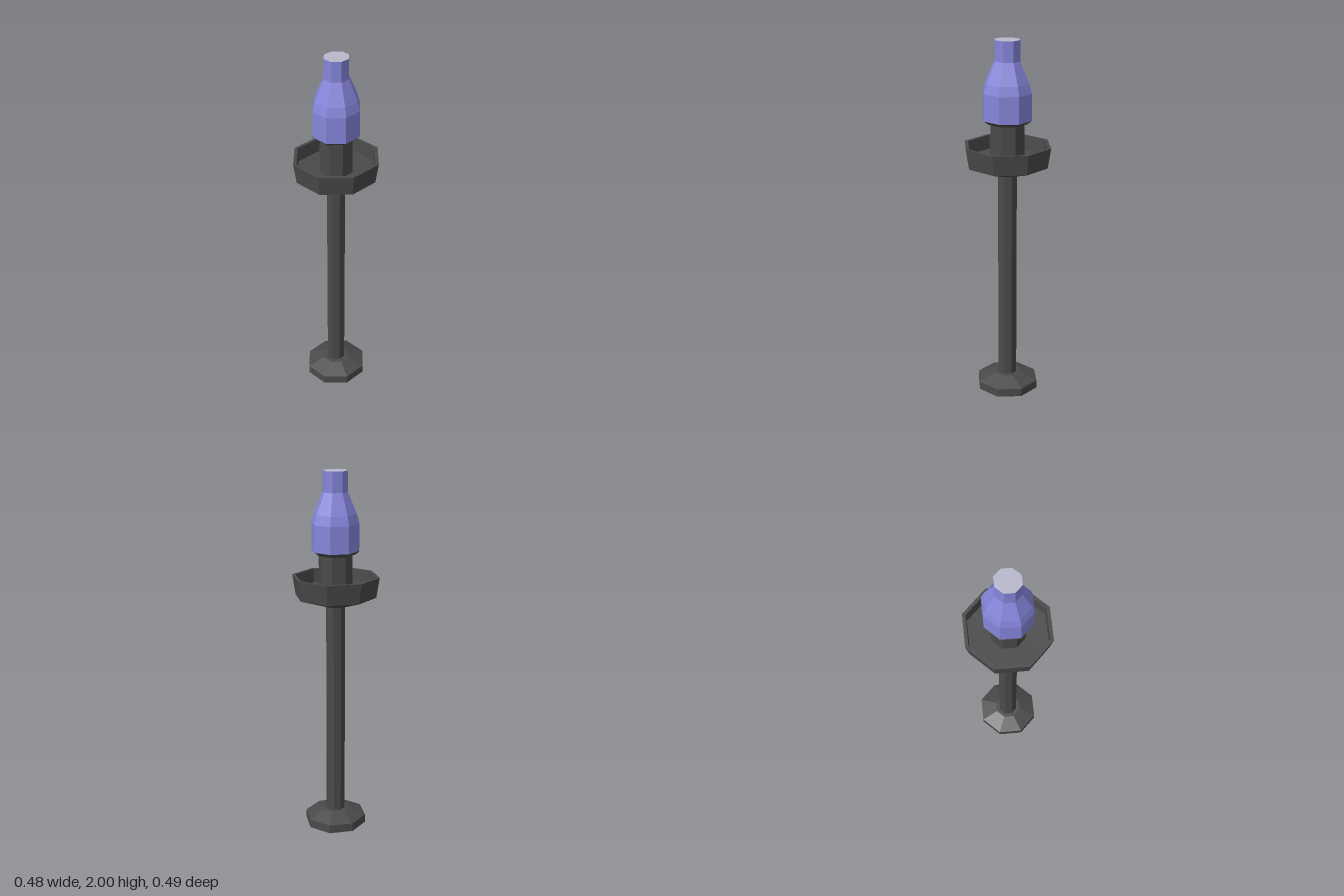
import * as THREE from 'three';

const SIDES = 8;

function material(name, color) {
  const m = new THREE.MeshStandardMaterial({ color, flatShading: true });
  m.name = name;
  return m;
}

// Octagonal turned part; profile is [radius, y] from bottom to top, slightly narrower in x
function turned(name, profile, mat, widthX) {
  const points = profile.map(([r, y]) => new THREE.Vector2(r, y));
  const mesh = new THREE.Mesh(new THREE.LatheGeometry(points, SIDES), mat);
  mesh.name = name;
  mesh.scale.x = widthX;
  return mesh;
}

export function createModel() {
  const iron = material('dark iron', 0x4a4a4a);
  const violet = material('violet glass', 0x8686dc);
  const pale = material('pale lavender', 0xb8b8cc);

  const model = new THREE.Group();
  model.name = 'standingLamp';

  // Foot with a bevelled top
  model.add(turned('foot', [[0, 0], [0.177, 0], [0.177, 0.047], [0.078, 0.085], [0, 0.085]], iron, 0.97));

  // Slender post
  model.add(turned('post', [[0.054, 0.08], [0.054, 1.29]], iron, 0.97));

  // Hollow dish with a flat rim
  model.add(turned('dish', [
    [0, 1.275], [0.055, 1.275], [0.226, 1.33], [0.244, 1.44],
    [0.225, 1.44], [0.22, 1.365], [0, 1.36],
  ], iron, 0.98));

  // Socket flaring out under the shade
  model.add(turned('socket', [[0.096, 1.355], [0.096, 1.56], [0.11, 1.56], [0.136, 1.58], [0, 1.58]], iron, 0.96));

  // Bottle-shaped shade and its flat top, a touch off centre
  const shade = new THREE.Group();
  shade.name = 'shade';
  shade.position.x = 0.002;
  shade.add(turned('shadeBody', [
    [0.136, 1.58], [0.136, 1.725], [0.122, 1.775], [0.071, 1.89], [0.071, 2],
  ], violet, 0.95));
  shade.add(turned('shadeTop', [[0.071, 2], [0, 2]], pale, 0.95));
  model.add(shade);

  return model;
}
